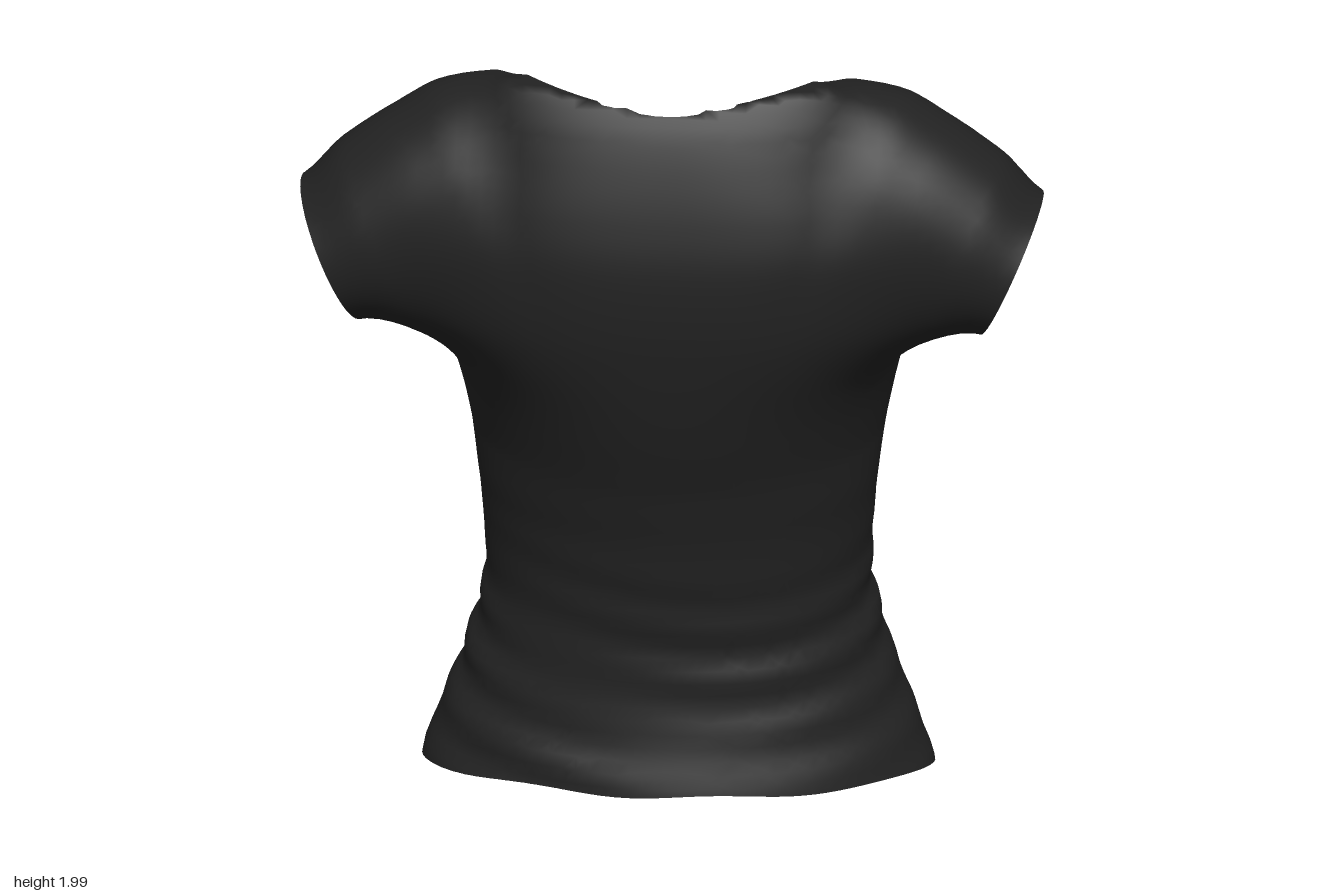
import * as THREE from 'three';
import { mergeVertices } from 'three/addons/utils/BufferGeometryUtils.js';

// Torso stations: height, half width, front z, back z
const TORSO = [
  [-0.12, 0.645, -0.375, 0.47], [0.1, 0.622, -0.38, 0.445], [0.2, 0.59, -0.382, 0.42],
  [0.3, 0.55, -0.382, 0.39], [0.4, 0.513, -0.38, 0.375], [0.5, 0.485, -0.377, 0.37],
  [0.6, 0.468, -0.375, 0.378], [0.8, 0.478, -0.386, 0.415], [0.88, 0.487, -0.405, 0.437],
  [0.95, 0.496, -0.455, 0.457], [1.0, 0.504, -0.51, 0.475], [1.1, 0.525, -0.57, 0.51],
  [1.2, 0.547, -0.584, 0.54], [1.3, 0.557, -0.577, 0.565], [1.4, 0.557, -0.55, 0.585],
  [1.5, 0.55, -0.485, 0.595], [1.6, 0.545, -0.355, 0.593], [1.7, 0.54, -0.255, 0.575],
  [1.8, 0.54, -0.14, 0.547], [1.9, 0.53, 0.005, 0.51], [1.96, 0.475, 0.16, 0.478],
  [2.0, 0.4, 0.3, 0.45], [2.06, 0.3, 0.36, 0.4],
];
// Roundness of the torso outline: height, exponent at the front, exponent at the back
const ROUND = [
  [0, 1.9, 1.9], [0.4, 2.05, 2.05], [0.85, 2.1, 2.1], [1.15, 2.9, 2.3],
  [1.4, 2.6, 2.8], [1.7, 2.3, 2.9], [1.9, 2.3, 2.4],
];
// Neckline: height, half width of the opening at the chest
const NECK = [
  [1.1, -0.06], [1.2, 0], [1.26, 0.05], [1.33, 0.14], [1.4, 0.27], [1.47, 0.345],
  [1.6, 0.365], [1.7, 0.39], [1.8, 0.42], [1.9, 0.45], [2.1, 0.45],
];
// Sleeve radii by distance from the cuff: distance, along cuff, across cuff
const SLEEVE = [
  [-0.7, 0.11, 0.08], [-0.52, 0.235, 0.19], [-0.38, 0.28, 0.238],
  [-0.14, 0.245, 0.225], [0, 0.188, 0.203], [0.2, 0.17, 0.19],
];

// Smooth interpolation through the rows of a table
function sample(rows, t, col) {
  const last = rows.length - 1;
  if (t <= rows[0][0]) return rows[0][col];
  if (t >= rows[last][0]) return rows[last][col];
  let i = 0;
  while (rows[i + 1][0] < t) i++;
  const slope = (k) => {
    const a = rows[Math.max(k - 1, 0)], b = rows[Math.min(k + 1, last)];
    return (b[col] - a[col]) / (b[0] - a[0]);
  };
  const h = rows[i + 1][0] - rows[i][0], u = (t - rows[i][0]) / h;
  const p = rows[i][col], q = rows[i + 1][col];
  return p + (q - p) * u * u * (3 - 2 * u) + h * u * (1 - u) * ((1 - u) * slope(i) - u * slope(i + 1));
}

// Distance outward past the slanted cuff plane
const cuff = (x, y) => (Math.abs(x) - 0.825) * 0.915 - (y - 1.51) * 0.404;

function torsoField(x, y, z) {
  const front = sample(TORSO, y, 2), back = sample(TORSO, y, 3), r = (back - front) / 2;
  // broader across the shoulder blades than across the chest
  const blades = 0.05 * THREE.MathUtils.smoothstep(z, -0.05, 0.3) * Math.exp(-(((y - 1.5) / 0.24) ** 4));
  const a = sample(TORSO, y, 1) + blades;
  let dz = z - (front + back) / 2;
  if (z < 0) {
    // shallow dip between the cups and a turned-out neckline fold
    dz -= 0.022 * Math.exp(-((x / 0.11) ** 2) - ((y - 1.15) / 0.12) ** 2);
    dz += 0.05 * Math.exp(-(((x - 0.27) / 0.045) ** 2) - ((y - 1.37) / 0.035) ** 2);
  }
  const n = sample(ROUND, y, dz < 0 ? 1 : 2);
  const f = (((Math.abs(x) / a) ** n + (Math.abs(dz) / r) ** n) ** (1 / n) - 1) * Math.min(a, r);
  // gathered folds round the waist and hip, fading in and out
  const mask = THREE.MathUtils.smoothstep(0.85 - y, 0, 0.4) * (0.6 + 0.4 * Math.sin(x * 5 + z * 6 + y * 9));
  return f + mask * 0.006 * Math.sin(y * 46 + 2.2 * Math.sin(x * 4 + 1) + 1.5 * Math.sin(z * 5));
}

function sleeveField(x, y, z) {
  const s = cuff(x, y);
  const p = (Math.abs(x) - 0.825) * 0.404 + (y - 1.51) * 0.915;
  const rp = sample(SLEEVE, s, 1), rz = sample(SLEEVE, s, 2);
  const f = (Math.hypot(p / rp, (z - 0.262) / rz) - 1) * Math.min(rp, rz);
  return Math.max(f, -0.68 - s, s - 0.16);
}

// Torso and sleeves blended into one cloth surface, softest under the arm
function field(x, y, z) {
  const a = torsoField(x, y, z), b = sleeveField(x, y, z);
  const k = 0.18 - 0.1 * THREE.MathUtils.smoothstep(y, 1.35, 1.75);
  const h = Math.max(k - Math.abs(a - b), 0) / k;
  const top = 1.968 + 0.032 * THREE.MathUtils.smoothstep(Math.abs(x), 0, 0.38);
  return Math.max(Math.min(a, b) - h * h * k * 0.25, y - top);
}

function gradient([x, y, z]) {
  const e = 0.004;
  return [
    (field(x + e, y, z) - field(x - e, y, z)) / (2 * e),
    (field(x, y + e, z) - field(x, y - e, z)) / (2 * e),
    (field(x, y, z + e) - field(x, y, z - e)) / (2 * e),
  ];
}

// Mesh the cloth surface: one vertex per crossed cell, one quad per crossed edge
function clothTriangles() {
  const h = 0.032, min = [-1.04, -0.1, -0.704], N = [66, 69, 44];
  const id = (i, j, k) => (i * N[1] + j) * N[2] + k;
  const at = (i, j, k) => [min[0] + i * h, min[1] + j * h, min[2] + k * h];
  const val = new Float32Array(N[0] * N[1] * N[2]);
  const each = (lo, fn) => {
    for (let i = lo; i < N[0] - 1; i++)
      for (let j = lo; j < N[1] - 1; j++)
        for (let k = lo; k < N[2] - 1; k++) fn([i, j, k]);
  };
  for (let i = 0; i < N[0]; i++)
    for (let j = 0; j < N[1]; j++)
      for (let k = 0; k < N[2]; k++) val[id(i, j, k)] = field(...at(i, j, k));

  const verts = new Map();
  each(0, ([i, j, k]) => {
    const sum = [0, 0, 0];
    let count = 0;
    for (let c = 0; c < 8; c++) {
      const A = [i + (c & 1), j + ((c >> 1) & 1), k + (c >> 2)];
      for (let d = 0; d < 3; d++) {
        if ((c >> d) & 1) continue;
        const B = A.slice();
        B[d]++;
        const va = val[id(...A)], vb = val[id(...B)];
        if (va < 0 === vb < 0) continue;
        const p = at(...A);
        p[d] += (h * va) / (va - vb);
        p.forEach((v, m) => (sum[m] += v));
        count++;
      }
    }
    if (!count) return;
    const p = sum.map((v) => v / count);
    for (let n = 0; n < 3; n++) {
      const g = gradient(p), f = field(...p), l2 = Math.max(g[0] ** 2 + g[1] ** 2 + g[2] ** 2, 0.1);
      g.forEach((v, m) => (p[m] -= THREE.MathUtils.clamp((f * v) / l2, -0.015, 0.015)));
    }
    const g = gradient(p), l = Math.hypot(...g) || 1;
    verts.set(id(i, j, k), [...p, ...g.map((v) => v / l)]);
  });

  const tris = [];
  each(1, (A) => {
    for (let d = 0; d < 3; d++) {
      const B = A.slice();
      B[d]++;
      const inside = val[id(...A)] < 0;
      if (inside === val[id(...B)] < 0) continue;
      const u = (d + 1) % 3, v = (d + 2) % 3;
      const quad = [[1, 1], [0, 1], [0, 0], [1, 0]].map(([a, b]) => {
        const C = A.slice();
        C[u] -= a;
        C[v] -= b;
        return verts.get(id(...C));
      });
      if (!inside) quad.reverse();
      tris.push([quad[0], quad[1], quad[2]], [quad[0], quad[2], quad[3]]);
    }
  });
  return tris;
}

// Keep only the part of each triangle where keep(x, y, z) is positive
function trim(tris, keep) {
  const out = [];
  for (const t of tris) {
    const w = t.map((p) => keep(p[0], p[1], p[2])), poly = [];
    for (let i = 0; i < 3; i++) {
      const j = (i + 1) % 3;
      if (w[i] >= 0) poly.push(t[i]);
      if (w[i] >= 0 !== w[j] >= 0) {
        const u = w[i] / (w[i] - w[j]);
        poly.push(t[i].map((v, m) => v + (t[j][m] - v) * u));
      }
    }
    for (let i = 2; i < poly.length; i++) out.push([poly[0], poly[i - 1], poly[i]]);
  }
  return out;
}

function toMesh(name, tris, material) {
  const pts = tris.flat(), geo = new THREE.BufferGeometry();
  geo.setAttribute('position', new THREE.Float32BufferAttribute(pts.flatMap((p) => p.slice(0, 3)), 3));
  geo.setAttribute('normal', new THREE.Float32BufferAttribute(pts.flatMap((p) => p.slice(3)), 3));
  const mesh = new THREE.Mesh(mergeVertices(geo, 1e-5), material);
  mesh.name = name;
  return mesh;
}

export function createModel() {
  const cloth = new THREE.MeshStandardMaterial({ color: 0x222222, side: THREE.DoubleSide });
  cloth.name = 'black cloth';

  // Openings: slanted hem, sleeve cuffs, and a plunging neck that is round behind
  const hem = (x, y, z) => y - (0.078 + 0.18 * z + 0.05 * x * x + 0.005 * Math.sin(x * 14));
  const cuffs = (x, y) => (y < 1.25 ? 1 : -cuff(x, y));
  const neck = (x, y, z) => {
    if (z < 0.08) return Math.abs(x) - sample(NECK, y, 1);
    return y < 1.6 ? 1 : (Math.hypot(x / 0.45, (z - 0.08) / 0.398) - 1) * 0.42;
  };
  let shirt = clothTriangles();
  for (const opening of [hem, cuffs, neck]) shirt = trim(shirt, opening);

  // Split the cloth at the sleeve seams
  const seam = (x, y) => (y < 1.25 ? -1 : cuff(x, y) + 0.08);
  const sleeves = trim(shirt, seam);
  const group = new THREE.Group();
  group.name = 'shirt';
  group.add(
    toMesh('bodice', trim(shirt, (x, y) => -seam(x, y)), cloth),
    toMesh('leftSleeve', sleeves.filter((t) => t[0][0] > 0), cloth),
    toMesh('rightSleeve', sleeves.filter((t) => t[0][0] < 0), cloth),
  );
  return group;
}
